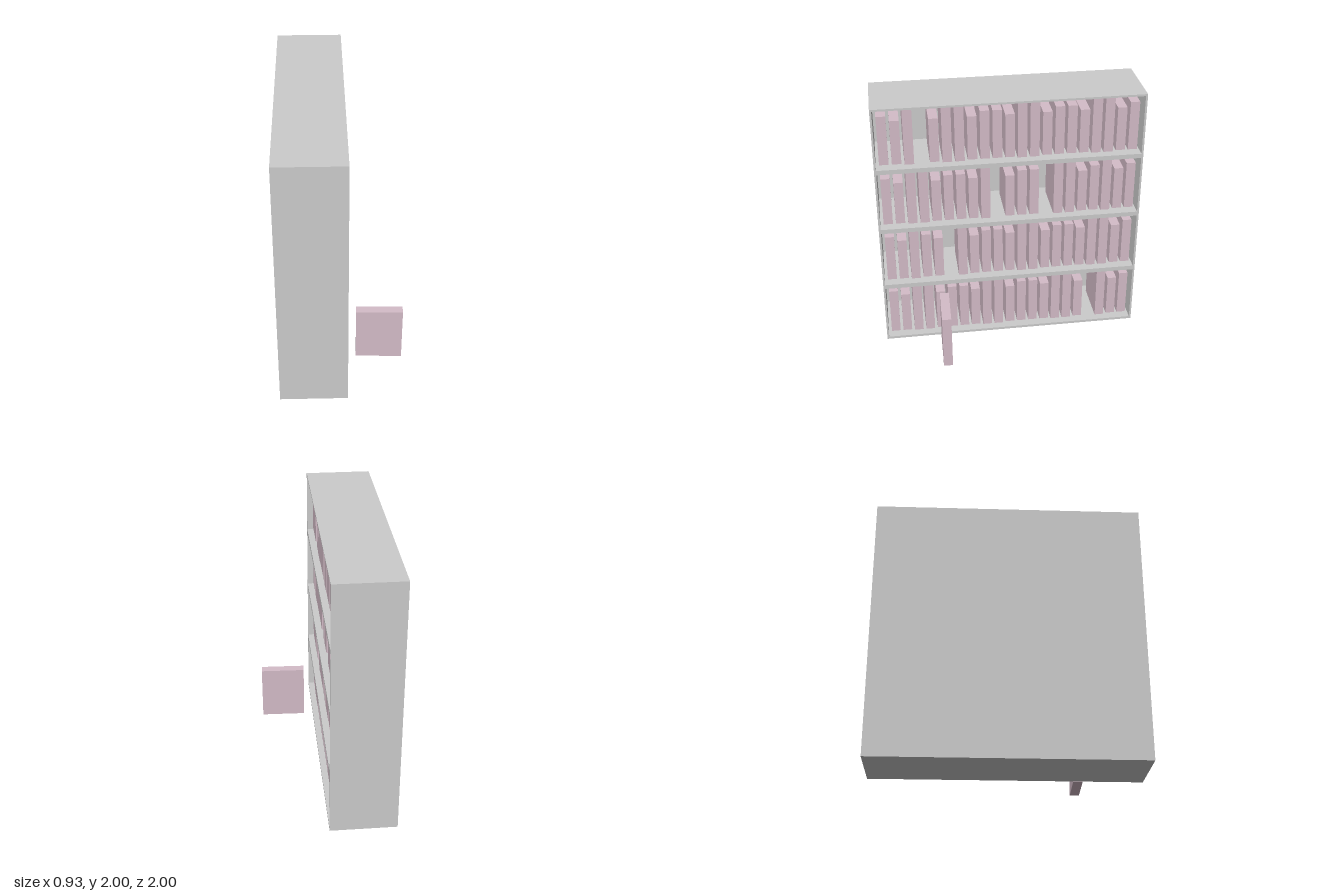
import * as THREE from 'three';

const ROWS = [ // bottom shelf first, from z = +1 to z = -1: L low, M medium, T tall, . gap
  'MLTTLMMLTTLMMLTTL.TLM',
  'MLTML.TLMMLTTLMMLTTLM',
  'MLTTLMMLT.LMM.TTLMTLM',
  'MLT.LTTLMMLTTLMMLTTLM',
];
const BOOKS = { // [bottom above shelf pitch line, height]
  L: [0.04, 0.345],
  M: [0.04, 0.383],
  T: [0.032, 0.435],
};
const BACK = -0.465, FRONT = 0.035, PANEL = 0.015;
const BOOK_DEPTH = 0.35, BOOK_WIDTH = 0.07, BOOK_FRONT = -0.012, PITCH = 0.0925;

function rectangle(target, x0, y0, x1, y1) {
  target.moveTo(x0, y0);
  target.lineTo(x1, y0);
  target.lineTo(x1, y1);
  target.lineTo(x0, y1);
  target.closePath();
  return target;
}

export function createModel() {
  const group = new THREE.Group();
  const wood = new THREE.MeshStandardMaterial({ color: 0xcccccc });
  const cover = new THREE.MeshStandardMaterial({ color: 0xd4bcc8 });

  // Case with four compartments, open towards +x
  const outline = rectangle(new THREE.Shape(), -1, 0, 1, 2);
  for (let i = 0; i < 4; i++) {
    outline.holes.push(rectangle(new THREE.Path(), -0.985, 0.02 + i * 0.5, 0.985, 0.485 + i * 0.5));
  }
  const frameGeometry = new THREE.ExtrudeGeometry(outline, {
    depth: FRONT - BACK - PANEL, bevelEnabled: false,
  });
  frameGeometry.rotateY(Math.PI / 2);
  const frame = new THREE.Mesh(frameGeometry, wood);
  frame.name = 'shelfFrame';
  frame.position.x = BACK + PANEL;
  group.add(frame);

  // Back panel
  const back = new THREE.Mesh(new THREE.BoxGeometry(PANEL, 2, 2), wood);
  back.name = 'backPanel';
  back.position.set(BACK + PANEL / 2, 1, 0);
  group.add(back);

  // Rows of books
  ROWS.forEach((row, r) => {
    const books = new THREE.Group();
    books.name = `bookRow${r + 1}`;
    [...row].forEach((size, i) => {
      if (size === '.') return;
      const [bottom, height] = BOOKS[size];
      const book = new THREE.Mesh(new THREE.BoxGeometry(BOOK_DEPTH, height, BOOK_WIDTH), cover);
      book.name = 'book';
      book.position.set(BOOK_FRONT - BOOK_DEPTH / 2, r * 0.5 + bottom + height / 2, 0.925 - i * PITCH);
      books.add(book);
    });
    group.add(books);
  });

  // Book pulled out in front of the case, slightly turned
  const loose = new THREE.Mesh(new THREE.BoxGeometry(BOOK_DEPTH, 0.435, BOOK_WIDTH), cover);
  loose.name = 'looseBook';
  loose.position.set(0.285, 0.238, 0.54);
  loose.rotation.y = -0.03;
  group.add(loose);

  return group;
}
